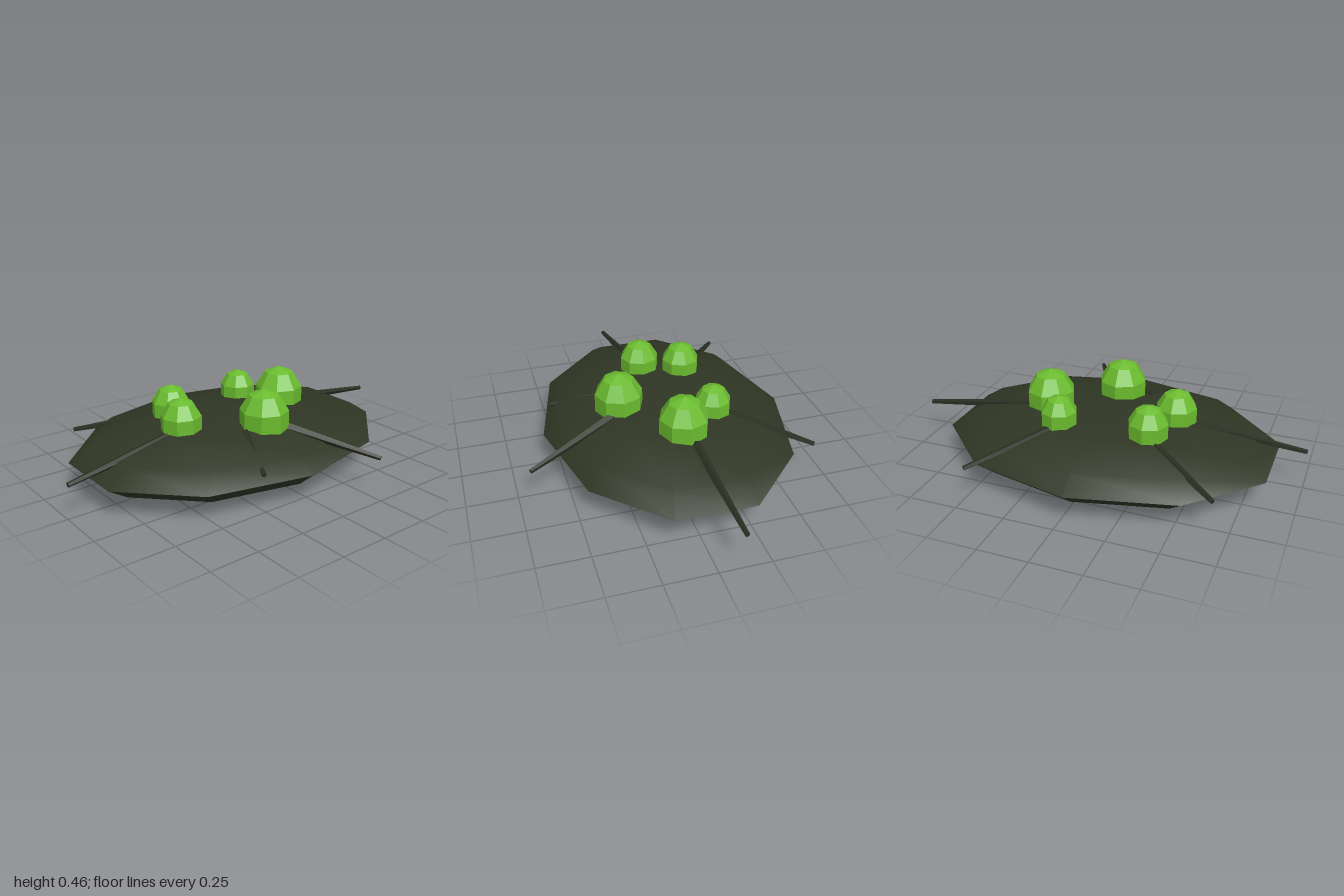
import * as THREE from 'three';
import { toCreasedNormals } from 'three/addons/utils/BufferGeometryUtils.js';

export function createModel() {
  const group = new THREE.Group();
  const mat = (name, color, flatShading = false) => {
    const m = new THREE.MeshStandardMaterial({ color, flatShading });
    m.name = name;
    return m;
  };
  const padMat = mat('dark olive', 0x2f3624);
  const spikeMat = mat('dark moss', 0x2a2f22, true);
  const bulbMat = mat('bright green', 0x6abb2e, true);

  const add = (name, geometry, material) => {
    const mesh = new THREE.Mesh(geometry, material);
    mesh.name = name;
    group.add(mesh);
    return mesh;
  };

  // Flattened ten-sided pad, smooth except for its sharp rim
  const padGeo = new THREE.SphereGeometry(1, 10, 6);
  padGeo.rotateY(Math.PI / 2);
  padGeo.scale(0.868, 0.147, 0.635);
  padGeo.translate(-0.03, 0.15, -0.065);
  add('pad', toCreasedNormals(padGeo, 0.75), padMat);

  // Faceted bulbs: x, z, radius
  [
    [0, 0.18, 0.13],
    [0.305, -0.065, 0.13],
    [0.175, -0.26, 0.096],
    [-0.275, -0.235, 0.105],
    [-0.355, -0.025, 0.108],
  ].forEach(([x, z, r], i) => {
    const bulb = add('bulb' + (i + 1), new THREE.SphereGeometry(r, 8, 5), bulbMat);
    bulb.scale.y = 1.2;
    bulb.position.set(x, 0.31, z);
  });

  // Tapered spikes lying over the pad: base and tip
  [
    [[0.08, 0.27, 0.23], [0.305, 0.188, 0.685]],
    [[0.33, 0.272, -0.085], [1.0, 0.187, -0.118]],
    [[0.18, 0.27, -0.3], [0.478, 0.187, -0.685]],
    [[-0.28, 0.27, -0.26], [-0.675, 0.187, -0.555]],
    [[-0.36, 0.272, -0.025], [-1.0, 0.187, 0.032]],
    [[-0.135, 0.27, 0.2], [-0.255, 0.187, 0.49]],
  ].forEach(([a, b], i) => {
    const base = new THREE.Vector3(...a);
    const tip = new THREE.Vector3(...b);
    const dir = tip.clone().sub(base);
    const spike = add('spike' + (i + 1), new THREE.CylinderGeometry(0.012, 0.027, dir.length(), 5), spikeMat);
    spike.position.copy(base).add(tip).multiplyScalar(0.5);
    spike.quaternion.setFromUnitVectors(new THREE.Vector3(0, 1, 0), dir.normalize());
  });

  return group;
}
